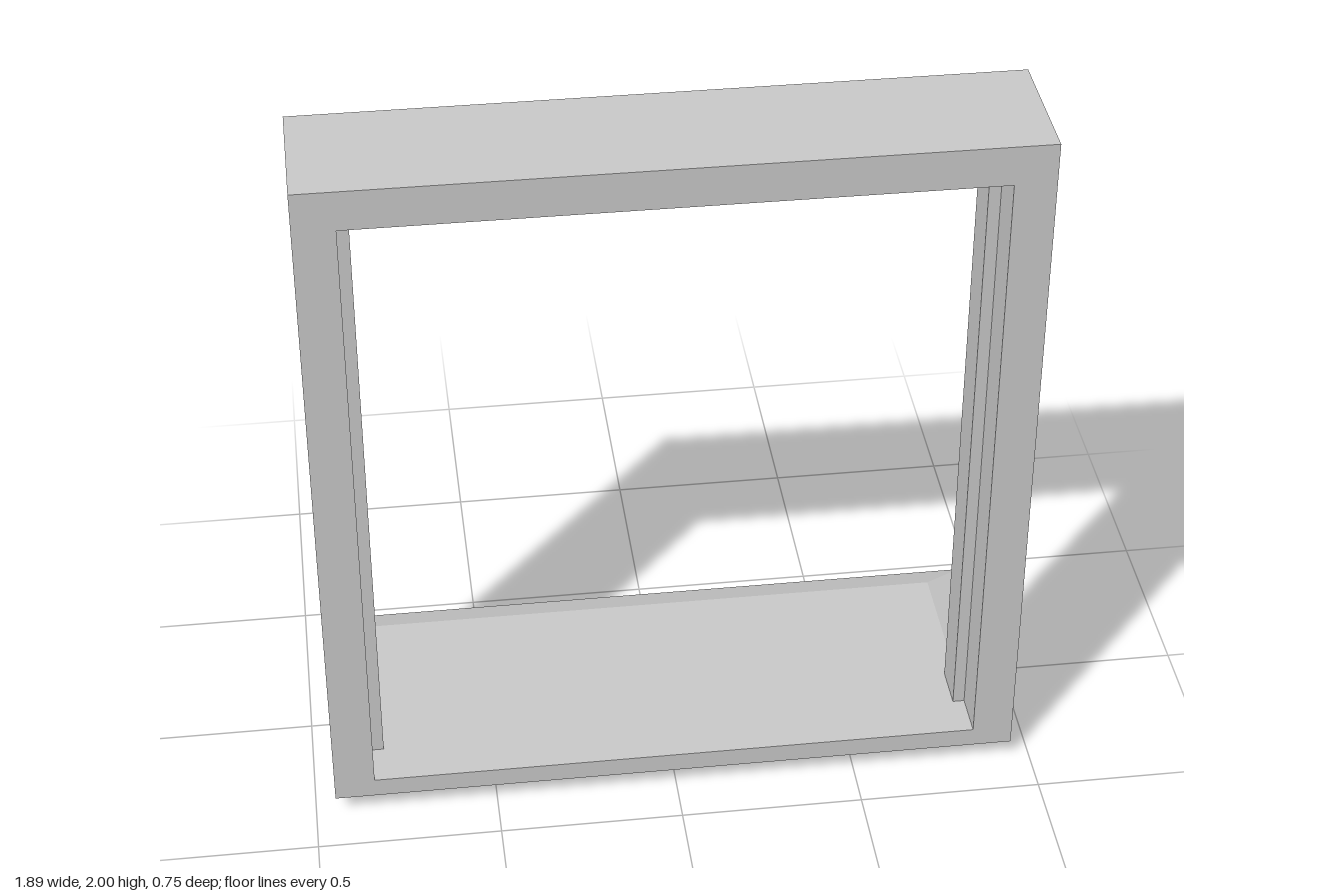
import * as THREE from 'three';

const material = new THREE.MeshStandardMaterial({ color: 0xcccccc, flatShading: true });

function addPart(parent, name, geometry) {
  const mesh = new THREE.Mesh(geometry, material);
  mesh.name = name;
  parent.add(mesh);
  return mesh;
}

// Prism with the given front outline, running from z0 to z1
function prism(points, z0, z1) {
  const shape = new THREE.Shape(points.map(([x, y]) => new THREE.Vector2(x, y)));
  return new THREE.ExtrudeGeometry(shape, { depth: z1 - z0, bevelEnabled: false }).translate(0, 0, z0);
}

// Closed solid from stacked rectangles [halfWidth, y, back z, front z], listed upwards
function stackedRectangles(levels) {
  const positions = [];
  const indices = [];
  levels.forEach(([w, y, back, front]) => {
    positions.push(-w, y, front, w, y, front, w, y, back, -w, y, back);
  });
  for (let level = 0; level < levels.length - 1; level++) {
    for (let i = 0; i < 4; i++) {
      const a = level * 4 + i;
      const b = level * 4 + ((i + 1) % 4);
      indices.push(a, b, b + 4, a, b + 4, a + 4);
    }
  }
  const t = (levels.length - 1) * 4;
  indices.push(0, 2, 1, 0, 3, 2, t, t + 1, t + 2, t, t + 2, t + 3);
  const geometry = new THREE.BufferGeometry();
  geometry.setAttribute('position', new THREE.Float32BufferAttribute(positions, 3));
  geometry.setIndex(indices);
  const flat = geometry.toNonIndexed();
  flat.computeVertexNormals();
  return flat;
}

export function createModel() {
  const model = new THREE.Group();
  model.name = 'openFrame';

  const outer = 0.945, inner = 0.835, stop = 0.803;
  const top = 2, innerTop = 1.89, stopTop = 1.868;
  const sillBottom = 0.055, sillTop = 0.11;
  const depth = 0.373;

  // Foot and bevelled sill, which runs out behind the frame
  const foot = addPart(model, 'foot', new THREE.BoxGeometry(1.7, 0.045, 0.48));
  foot.position.y = 0.0225;
  addPart(model, 'sill', stackedRectangles([
    [0.86, 0.04, -0.25, 0.25],
    [outer, sillBottom, -depth, depth],
    [outer, 0.083, -depth, depth],
    [inner, sillTop, -0.29, depth],
  ]));

  // Mitred head and the stop strip beneath it
  addPart(model, 'head', prism(
    [[-outer, top], [-inner, innerTop], [inner, innerTop], [outer, top]], 0, depth));
  addPart(model, 'headStop', prism(
    [[-inner, innerTop], [-stop, stopTop], [stop, stopTop], [inner, innerTop]], 0.125, 0.248));

  // Mitred jambs with their stop strips, mirrored left and right
  for (const [side, s] of [['left', 1], ['right', -1]]) {
    addPart(model, side + 'Jamb', prism(
      [[s * outer, sillBottom], [s * outer, top], [s * inner, innerTop], [s * inner, sillTop]], 0, depth));
    addPart(model, side + 'JambStop', prism(
      [[s * inner, sillTop], [s * inner, innerTop], [s * stop, stopTop], [s * stop, sillTop]], 0.125, 0.248));
  }

  return model;
}
